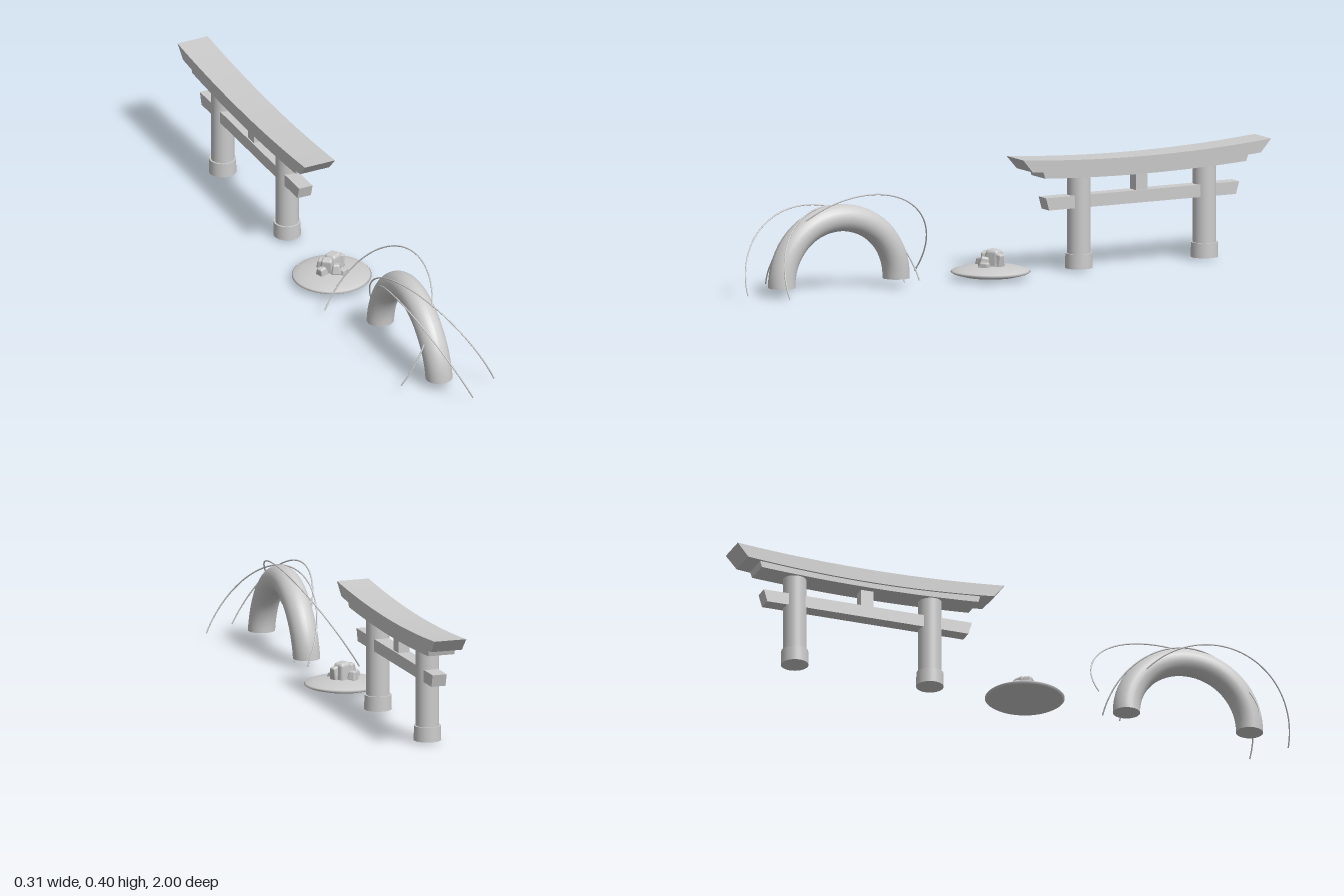
import * as THREE from 'three';
import { RoundedBoxGeometry } from 'three/addons/geometries/RoundedBoxGeometry.js';

const AXIS_X = -0.02;
const grey = new THREE.MeshStandardMaterial({ color: 0xcccccc });

function add(parent, name, geometry, x = 0, y = 0, z = 0) {
  const mesh = new THREE.Mesh(geometry, grey);
  mesh.name = name;
  mesh.position.set(x, y, z);
  parent.add(mesh);
  return mesh;
}

// Beam along z, sagging in the middle, with ends slanting inward below
function curvedBeam({ top, bottom, halfTop, halfBottom, widthTop, widthBottom, rise = 0 }) {
  const geo = new THREE.BoxGeometry(1, 1, 2, 1, 1, 24);
  const p = geo.attributes.position;
  for (let i = 0; i < p.count; i++) {
    const up = p.getY(i) > 0, t = p.getZ(i);
    p.setXYZ(i, p.getX(i) * (up ? widthTop : widthBottom),
      (up ? top : bottom) + rise * t * t, t * (up ? halfTop : halfBottom));
  }
  geo.computeVertexNormals();
  return geo;
}

function createGate() {
  const gate = new THREE.Group();
  gate.name = 'gate';
  gate.position.set(AXIS_X + 0.002, 0, -0.525);

  add(gate, 'roofBeam', curvedBeam({
    top: 0.376, bottom: 0.332, halfTop: 0.475, halfBottom: 0.437,
    widthTop: 0.112, widthBottom: 0.108, rise: 0.021 }));
  add(gate, 'underRoofBeam', curvedBeam({
    top: 0.336, bottom: 0.315, halfTop: 0.392, halfBottom: 0.385,
    widthTop: 0.094, widthBottom: 0.092, rise: 0.012 }));
  add(gate, 'crossBeam', curvedBeam({
    top: 0.257, bottom: 0.215, halfTop: 0.37, halfBottom: 0.358,
    widthTop: 0.05, widthBottom: 0.05 }));
  add(gate, 'centrePost', new THREE.BoxGeometry(0.04, 0.07, 0.045), 0, 0.287, 0);

  for (const z of [0.23, -0.251]) {
    add(gate, 'pillar', new THREE.CylinderGeometry(0.039, 0.039, 0.29, 32), 0, 0.18, z);
    add(gate, 'pillarBase', new THREE.CylinderGeometry(0.045, 0.046, 0.05, 32), 0, 0.035, z);
  }
  return gate;
}

function createIsland() {
  const island = new THREE.Group();
  island.name = 'island';
  island.position.set(AXIS_X, 0, 0.042);

  // Lens-shaped ground
  const profile = [[0, 0.002], [0.05, 0.004], [0.095, 0.01], [0.125, 0.018], [0.133, 0.023],
    [0.128, 0.028], [0.105, 0.036], [0.07, 0.042], [0.035, 0.045], [0, 0.046]];
  add(island, 'ground', new THREE.LatheGeometry(profile.map(([r, y]) => new THREE.Vector2(r, y)), 48));

  // Boulders: position, size, turn, lean
  const rocks = [
    [[0.008, 0.066, -0.008], [0.062, 0.066, 0.056], 0.5, 0.05],
    [[-0.018, 0.064, 0.004], [0.042, 0.056, 0.05], 0.9, -0.12],
    [[0.034, 0.058, -0.012], [0.034, 0.058, 0.032], 0.4, 0.2],
    [[0.004, 0.057, 0.026], [0.036, 0.036, 0.032], 1.1, 0.15],
    [[-0.042, 0.053, 0.012], [0.034, 0.028, 0.032], 0.3, -0.2],
    [[0.024, 0.048, 0.036], [0.038, 0.02, 0.03], 0.6, 0.05],
    [[-0.02, 0.055, -0.034], [0.034, 0.034, 0.03], 0.8, -0.1],
  ];
  for (const [pos, size, turn, lean] of rocks) {
    const geo = new RoundedBoxGeometry(...size, 3, Math.min(...size) * 0.22);
    const p = geo.attributes.position;
    for (let i = 0; i < p.count; i++) {
      const s = 0.9 - 0.45 * p.getY(i) / size[1];
      p.setX(i, p.getX(i) * s);
      p.setZ(i, p.getZ(i) * s);
    }
    add(island, 'boulder', geo, ...pos).rotation.set(0, turn, -lean);
  }
  return island;
}

function createArch() {
  const arch = new THREE.Group();
  arch.name = 'arch';
  arch.position.set(AXIS_X, 0.03, 0.623);
  const R = 0.219, r = 0.0455;

  // Half ring with a slight sideways sway
  const geo = new THREE.TorusGeometry(R, r, 24, 32, Math.PI);
  geo.rotateY(-Math.PI / 2);
  const p = geo.attributes.position;
  for (let i = 0; i < p.count; i++) {
    const t = Math.atan2(p.getY(i), p.getZ(i));
    p.setX(i, p.getX(i) - 0.006 * Math.sin(2 * t));
  }
  geo.computeVertexNormals();
  add(arch, 'archTube', geo);
  for (const z of [-R, R]) {
    add(arch, 'archFoot', new THREE.CircleGeometry(r, 24).rotateX(Math.PI / 2), 0, 0, z);
  }
  return arch;
}

// Thin circular wire: centre, base direction u, rising direction n
function wire(centre, u, n, radius, overrun = 0) {
  const C = new THREE.Vector3(...centre);
  const U = new THREE.Vector3(...u).normalize(), N = new THREE.Vector3(...n).normalize();
  const points = [];
  for (let i = 0; i <= 32; i++) {
    const t = -overrun + (Math.PI + 2 * overrun) * i / 32;
    points.push(C.clone().addScaledVector(U, radius * Math.cos(t)).addScaledVector(N, radius * Math.sin(t)));
  }
  return new THREE.TubeGeometry(new THREE.CatmullRomCurve3(points), 96, 0.0025, 8);
}

export function createModel() {
  const model = new THREE.Group();
  model.name = 'gateIslandAndArch';
  model.add(createGate(), createIsland(), createArch());

  // Tilted wires looping around the arch
  const wires = new THREE.Group();
  wires.name = 'wires';
  add(wires, 'wireLeaningLeft', wire([-0.114, 0.084, 0.542], [0, 0, 1], [0.202, 0.305, 0], 0.294, 0.243));
  add(wires, 'wireLeaningRight', wire([0.028, 0.02, 0.698], [0, 0, 1], [-0.139, 0.266, 0], 0.3));
  add(wires, 'wireCrossing', wire([0.078, 0.018, 0.618], [0.145, 0, 0.575], [-0.425, 0.9, 0.107], 0.299));
  model.add(wires);
  return model;
}
